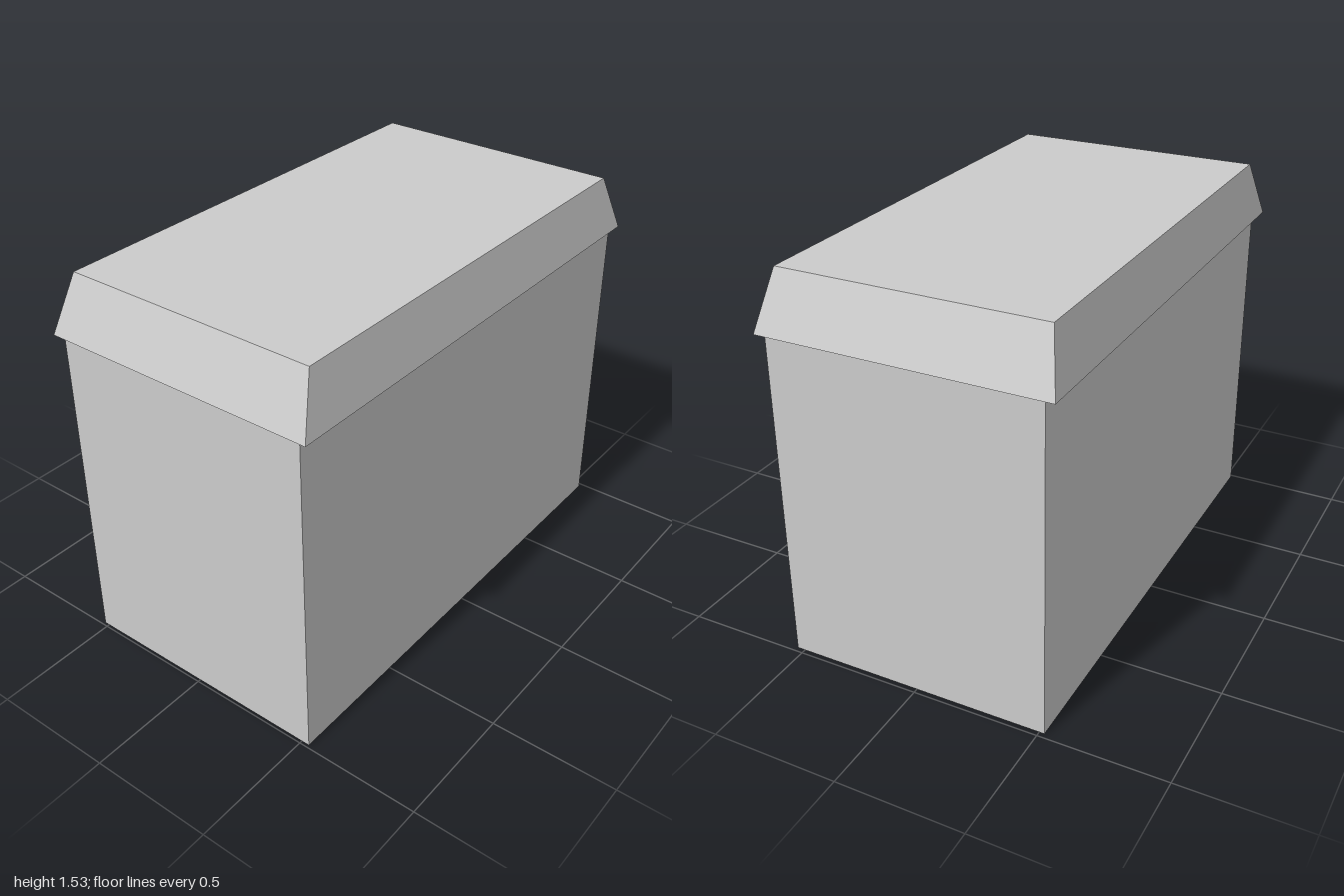
import * as THREE from 'three';

const BODY = { width: 1.969, height: 1.31, depth: 1.053 };
const LID = { width: 2, height: 0.225, depth: 1.128, topWidth: 1.832, topDepth: 1.034 };

// Box whose top face is scaled in to make sloping sides
function taperedBox({ width, height, depth, topWidth, topDepth }) {
  const geometry = new THREE.BoxGeometry(width, height, depth);
  const p = geometry.attributes.position;
  for (let i = 0; i < p.count; i++) {
    if (p.getY(i) > 0) {
      p.setX(i, Math.sign(p.getX(i)) * topWidth / 2);
      p.setZ(i, Math.sign(p.getZ(i)) * topDepth / 2);
    }
  }
  geometry.computeVertexNormals();
  return geometry;
}

export function createModel() {
  const model = new THREE.Group();
  model.name = 'lidded box';
  const material = new THREE.MeshStandardMaterial({ color: 0xcccccc, flatShading: true });

  // Plain upright body, sitting slightly off centre under the lid
  const body = new THREE.Mesh(new THREE.BoxGeometry(BODY.width, BODY.height, BODY.depth), material);
  body.name = 'body';
  body.position.set(-0.004, BODY.height / 2, 0.006);

  // Overhanging lid with bevelled sides
  const lid = new THREE.Mesh(taperedBox(LID), material);
  lid.name = 'lid';
  lid.position.y = BODY.height + LID.height / 2;

  model.add(body, lid);
  return model;
}
